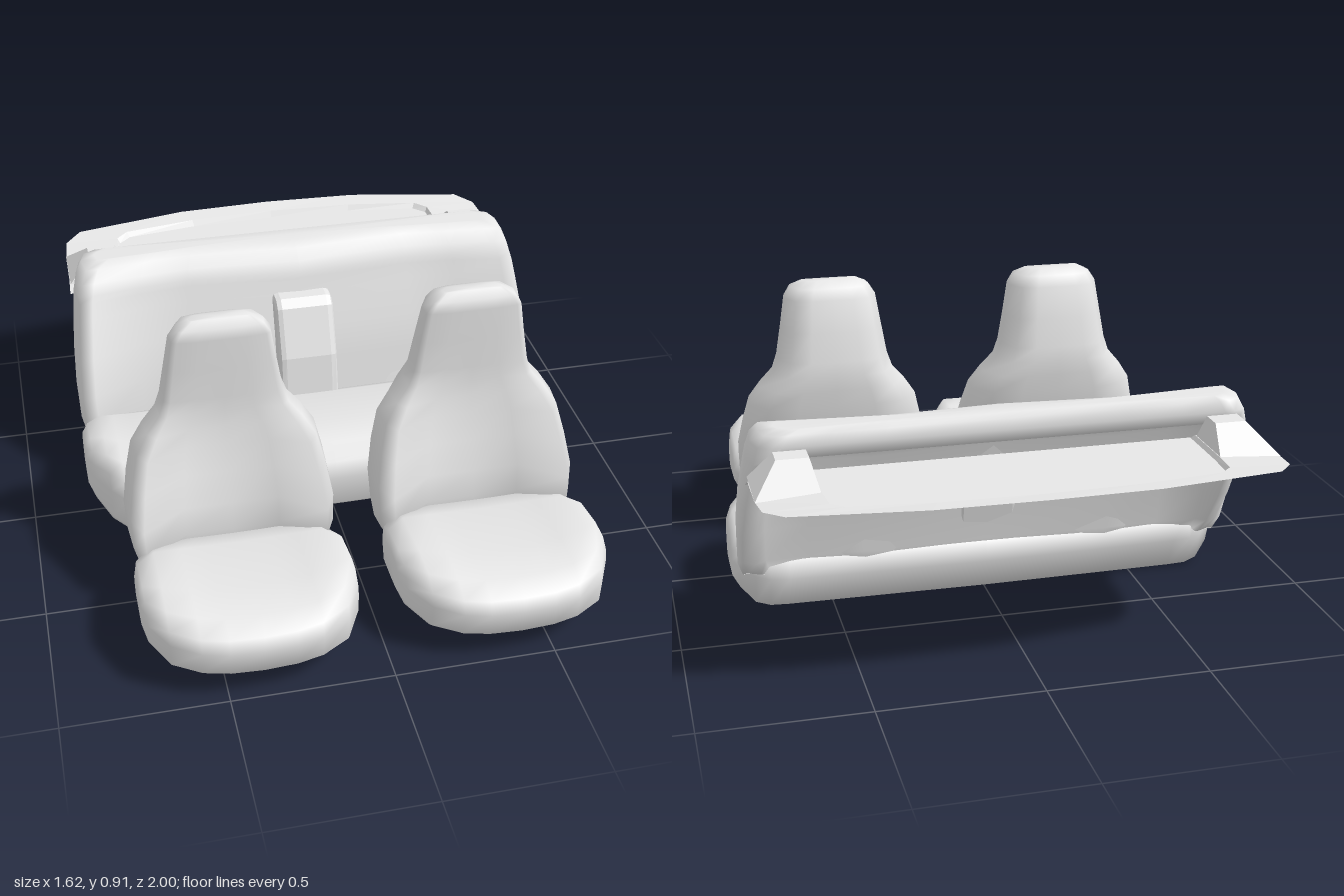
import * as THREE from 'three';

const upholstery = new THREE.MeshStandardMaterial({ name: 'lightGrey', color: 0xe7e7e7, side: THREE.DoubleSide });

// Join closed rings of [x, y, z] points into a solid with fan caps
function loft(rings, flat = false) {
  const n = rings[0].length, pos = rings.flat(2);
  const idx = [];
  for (let r = 0; r < rings.length - 1; r++) {
    for (let i = 0; i < n; i++) {
      const j = (i + 1) % n, a = r * n + i, b = r * n + j;
      idx.push(a, b, b + n, a, b + n, a + n);
    }
  }
  [0, rings.length - 1].forEach((r, end) => {
    const centre = pos.length / 3;
    for (let k = 0; k < 3; k++) pos.push(rings[r].reduce((s, p) => s + p[k], 0) / n);
    for (let i = 0; i < n; i++) {
      const a = r * n + i, b = r * n + (i + 1) % n;
      idx.push(...(end ? [centre, a, b] : [centre, b, a]));
    }
  });
  // Turn the faces outward if the enclosed volume is negative
  const at = i => new THREE.Vector3().fromArray(pos, i * 3);
  let volume = 0;
  for (let i = 0; i < idx.length; i += 3) volume += at(idx[i]).dot(at(idx[i + 1]).cross(at(idx[i + 2])));
  if (volume < 0) idx.reverse();
  return finish(pos, idx, flat);
}

function finish(pos, idx, flat) {
  let g = new THREE.BufferGeometry();
  g.setAttribute('position', new THREE.Float32BufferAttribute(pos, 3));
  g.setIndex(idx);
  if (flat) g = g.toNonIndexed();
  g.computeVertexNormals();
  return g;
}

function part(name, geometry) {
  const m = new THREE.Mesh(geometry, upholstery);
  m.name = name;
  return m;
}

// Repeat a half list, last entry on the centre line, on the other side
const mirrored = half => [...half, ...half.slice(0, -1).reverse().map(([x, ...rest]) => [-x, ...rest])];

// Cushion: side profiles along x; stations are [x, front z, back z, top, bottom]
const cushionProfile = [[0, 0.4], [0.03, 0.65], [0.22, 0.88], [0.64, 1], [0.86, 0.97], [0.97, 0.8],
  [1, 0.58], [0.985, 0.17], [0.91, 0.04], [0.6, 0], [0.09, 0]];
function cushion(half) {
  return loft(mirrored(half).map(([x, zf, zb, top, bot]) =>
    cushionProfile.map(([u, v]) => [x, bot + v * (top - bot), zb + u * (zf - zb)])));
}

// Backrest: level slices, each a half outline closed by its mirror image
function backrest(slices, outline) {
  return loft(slices.map(([y, ...s]) => {
    const half = outline(...s);
    const other = half.slice(1, -1).reverse().map(([x, z]) => [-x, z]);
    return [...half, ...other].map(([x, z]) => [x, y, z]);
  }));
}

// Slices are [y, half width, front z, bolster, back z]
const frontOutline = (w, zf, b, zb) => {
  const d = zf - zb;
  return [[0, zf], [0.45 * w, zf], [0.87 * w, zf + b - 0.04 * d], [0.97 * w, zf + 0.4 * b - 0.1 * d],
    [w, zb + 0.55 * d], [0.8 * w, zb + 0.1 * d], [0.45 * w, zb], [0, zb]];
};

// The rear backrest is a shell, hollowed from behind by r and dished beside the middle
const rearOutline = (w, zf, b, zb, r) => [[0, zf], [0.5 * w, zf - 0.025], [0.72 * w, zf - 0.01],
  [0.93 * w, zf + 0.85 * b], [0.985 * w, zf + b], [w, (zf + zb) / 2], [0.98 * w, zb + 0.02],
  [0.93 * w, zb], [0.89 * w, zb + 0.7 * r], [0.72 * w, zb + 0.92 * r], [0.5 * w, zb + 0.84 * r], [0, zb + r]];

function frontSeat(name, x) {
  const seat = new THREE.Group();
  seat.name = name;
  seat.position.x = x;
  seat.add(part('frontCushion', cushion([
    [0.33, 0.755, 0.58, 0.21, 0.11], [0.318, 0.83, 0.53, 0.245, 0.093], [0.265, 0.935, 0.47, 0.268, 0.078],
    [0.18, 0.98, 0.44, 0.256, 0.069], [0.1, 0.995, 0.43, 0.25, 0.064], [0, 1, 0.43, 0.249, 0.063]])));
  seat.add(part('frontBackrest', backrest([
    [0.07, 0.285, 0.44, 0, 0.335], [0.13, 0.312, 0.455, 0.045, 0.32], [0.21, 0.325, 0.465, 0.1, 0.292],
    [0.3, 0.329, 0.45, 0.108, 0.26], [0.4, 0.312, 0.42, 0.087, 0.228], [0.49, 0.29, 0.397, 0.062, 0.213],
    [0.55, 0.25, 0.385, 0.038, 0.204], [0.6, 0.207, 0.378, 0.015, 0.2], [0.65, 0.19, 0.378, 0.006, 0.204],
    [0.75, 0.173, 0.377, 0, 0.222], [0.855, 0.156, 0.378, 0, 0.245], [0.89, 0.134, 0.375, 0, 0.268],
    [0.91, 0.095, 0.347, 0, 0.308]], frontOutline)));
  return seat;
}

function rearSeat() {
  const seat = new THREE.Group();
  seat.name = 'rearBench';
  seat.add(part('rearCushion', cushion([
    [0.81, -0.02, -0.2, 0.23, 0.085], [0.79, 0.05, -0.25, 0.255, 0.06], [0.745, 0.13, -0.29, 0.278, 0.015],
    [0.7, 0.187, -0.31, 0.274, 0.005], [0.64, 0.2, -0.315, 0.27, 0.004], [0.35, 0.205, -0.315, 0.265, 0.002],
    [0, 0.205, -0.315, 0.262, 0]])));
  seat.add(part('rearBackrest', backrest([
    [0.13, 0.785, -0.27, 0.04, -0.3, 0.01], [0.18, 0.802, -0.285, 0.09, -0.33, 0.03],
    [0.3, 0.806, -0.3, 0.08, -0.41, 0.09], [0.42, 0.8, -0.33, 0.06, -0.485, 0.135],
    [0.54, 0.787, -0.37, 0.035, -0.555, 0.165], [0.595, 0.78, -0.385, 0.02, -0.578, 0.165],
    [0.615, 0.775, -0.392, 0.015, -0.58, 0], [0.65, 0.767, -0.407, 0.01, -0.582, 0],
    [0.685, 0.745, -0.44, 0.005, -0.58, 0], [0.698, 0.7, -0.48, 0, -0.56, 0]], rearOutline)));

  // Folding armrest in the middle of the bench
  const side = new THREE.Shape([[0.21, 0.2], [0.235, 0.36], [0.3, 0.525], [0.33, 0.55], [0.392, 0.55], [0.31, 0.24]]
    .map(p => new THREE.Vector2(...p)));
  const arm = new THREE.ExtrudeGeometry(side, { depth: 0.16, bevelThickness: 0.022, bevelSize: 0.018, bevelOffset: -0.018, bevelSegments: 2 });
  arm.translate(0, 0, -0.08).rotateY(Math.PI / 2);
  seat.add(part('armrest', arm));
  return seat;
}

function parcelShelf() {
  const shelf = new THREE.Group();
  shelf.name = 'parcelShelf';
  const outer = [[0.79, 0.535, -0.55], [0.787, 0.565, -0.6], [0.785, 0.565, -0.76], [0.775, 0.573, -0.86],
    [0.72, 0.58, -0.925], [0.33, 0.588, -0.99], [0, 0.59, -1]];
  const inner = [[0.595, 0.575, -0.56], [0.595, 0.575, -0.6], [0.595, 0.575, -0.76], [0.59, 0.577, -0.85],
    [0.55, 0.579, -0.89], [0.3, 0.582, -0.925], [0, 0.583, -0.935]];
  // Rows run from the rim, down the inner step and across the sunken panel
  const step = inner.map(([x, , z]) => [x * 0.985, 0.562, z + 0.012]);
  const front = step.map(([x]) => [x, 0.562, -0.545]);
  const rows = [outer, inner, step, front].map(mirrored);
  const n = rows[0].length, idx = [];
  for (let r = 0; r < rows.length - 1; r++) {
    for (let i = 0; i < n - 1; i++) {
      const a = r * n + i;
      idx.push(a, a + 1, a + n + 1, a, a + n + 1, a + n);
    }
  }
  shelf.add(part('shelfTray', finish(rows.flat(2), idx, true)));

  // Raised housings at both front corners, steep on the inner side
  const rect = (x0, x1, y, z0, z1) => [[x0, y, z0], [x1, y, z0], [x1, y, z1], [x0, y, z1]];
  for (const s of [1, -1]) {
    const rings = [rect(0.595, 0.785, 0.566, -0.565, -0.77), rect(0.615, 0.712, 0.648, -0.6, -0.668)];
    shelf.add(part(s > 0 ? 'leftHousing' : 'rightHousing',
      loft(rings.map(r => r.map(([x, y, z]) => [x * s, y, z])), true)));
  }
  return shelf;
}

export function createModel() {
  const model = new THREE.Group();
  model.name = 'carSeats';
  model.add(frontSeat('leftFrontSeat', 0.393), frontSeat('rightFrontSeat', -0.393), rearSeat(), parcelShelf());
  return model;
}
